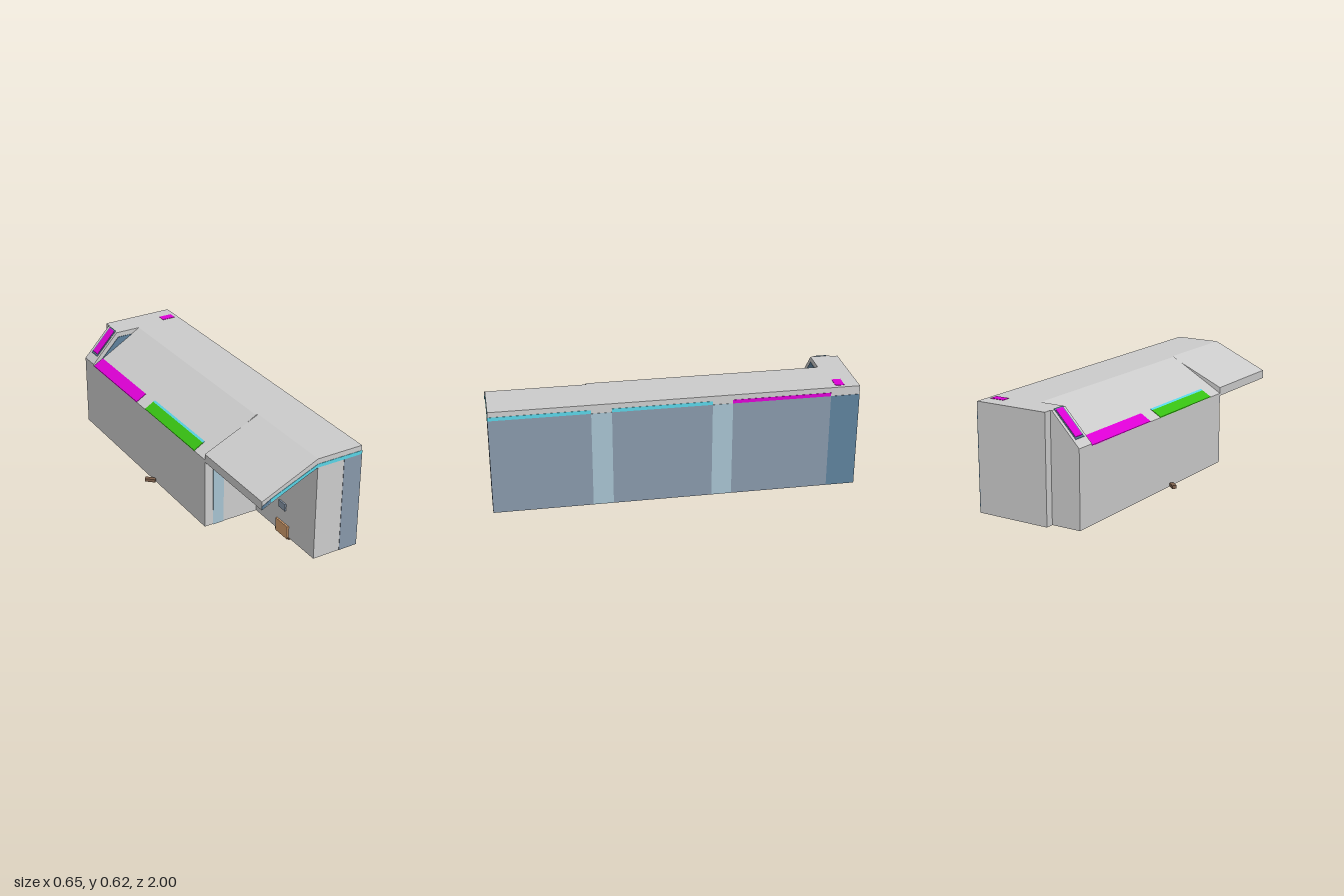
import * as THREE from 'three';

const mat = (name, color) => {
  const m = new THREE.MeshStandardMaterial({ color });
  m.name = name;
  return m;
};

export function createModel() {
  const group = new THREE.Group();
  const grey = mat('wall grey', 0xcccccc);
  const slate = mat('slate glass', 0x8898aa);
  const pale = mat('pale blue', 0xa6c2d0);
  const blue = mat('deep blue', 0x5e819c);
  const cyan = mat('cyan', 0x5ad4e6);
  const magenta = mat('magenta', 0xde00d6);
  const green = mat('green', 0x38c113);
  const tan = mat('tan wood', 0xd49e6e);
  const brown = mat('dark wood', 0x7e614d);

  const add = (name, geo, material) => {
    const m = new THREE.Mesh(geo, material);
    m.name = name;
    group.add(m);
    return m;
  };
  // Outline in x, y extruded between two z positions
  const prism = (name, pts, z0, z1, material) => {
    const shape = new THREE.Shape(pts.map(([x, y]) => new THREE.Vector2(x, y)));
    const geo = new THREE.ExtrudeGeometry(shape, { depth: z1 - z0, bevelEnabled: false });
    return add(name, geo.translate(0, 0, z0), material);
  };
  const box = (name, x0, x1, y0, y1, z0, z1, material) => {
    const m = add(name, new THREE.BoxGeometry(x1 - x0, y1 - y0, z1 - z0), material);
    m.position.set((x0 + x1) / 2, (y0 + y1) / 2, (z0 + z1) / 2);
    return m;
  };
  // Thin sheet lying on a sloping roof line
  const sheet = (name, roof, x0, x1, z0, z1, lift, material) => prism(name, [
    [x0, roof(x0) - 0.002], [x1, roof(x1) - 0.002],
    [x1, roof(x1) + lift], [x0, roof(x0) + lift]], z0, z1, material);

  const L = -0.27, R = 0.323, B = 0.02, T = 0.612, F = 0.998, P = 0.055, Z = 0.455, D = -0.845;
  const mainRoof = x => T - 0.58 * (0.04 - x);
  const dormerRoof = x => T - 1.06 * (-0.11 - x);

  // Body: front wing with canopy, main hall, rear dormer and end wall
  prism('frontWingAndCanopy', [[P, B], [R, B], [R, T], [P, T], [L, 0.466], [L, 0.418], [P, 0.563]], Z, F, grey);
  prism('mainHall', [[L, B], [R, B], [R, T], [0.04, T], [L, mainRoof(L)]], D, Z, grey);
  prism('rearDormer', [[L, B], [R, B], [R, T], [-0.11, T], [L, dormerRoof(L)]], -0.955, D, grey);
  box('rearEnd', -0.1, R, B, T, -1, -0.955, grey);

  // Long side: glazing panels and pale piers
  const side = (name, z0, z1, y0, y1, m) => box(name, R - 0.002, R + 0.002, y0, y1, z0, z1, m);
  [[1, 0.46, slate], [0.46, 0.35, pale], [0.35, -0.19, slate], [-0.19, -0.3, pale],
    [-0.3, -0.84, slate], [-0.84, -1, blue]].forEach(([a, b, m]) => {
    side('sidePanel', b, a, B, 0.563, m);
  });
  [[1, 0.46, cyan], [0.35, -0.19, cyan], [-0.3, -0.84, magenta]].forEach(([a, b, m]) => {
    side('sideLightStrip', b, a, 0.563, 0.583, m);
  });

  // Front: corner glazing, fascia strip and porch wall paint
  box('frontGlazing', 0.215, 0.325, B, 0.563, F - 0.002, 1, slate);
  prism('frontLightStrip', [[-0.22, 0.447], [P, 0.563], [0.325, 0.563], [0.325, 0.583], [P, 0.583], [-0.22, 0.467]],
    F - 0.002, 1, cyan);
  prism('canopyEndPanel', [[L, 0.421], [-0.22, 0.447], [-0.22, 0.467], [L, 0.439]], F - 0.002, 1, blue);
  prism('porchWallPanel', [[-0.22, B], [-0.155, B], [-0.155, 0.445], [P, 0.445], [P, 0.563], [-0.22, 0.44]],
    Z - 0.002, Z + 0.003, pale);
  box('porchWallBox', 0.046, 0.056, 0.17, 0.21, 0.68, 0.74, slate);

  // Roof details
  prism('dormerCheek', [[-0.214, 0.464], [-0.008, 0.583], [-0.1, 0.583]], D - 0.002, D + 0.003, blue);
  sheet('dormerWindowFrame', dormerRoof, -0.236, -0.108, -0.935, -0.862, 0.003, blue);
  sheet('dormerWindow', dormerRoof, -0.23, -0.114, -0.928, -0.87, 0.006, magenta);
  sheet('rearRoofPanel', mainRoof, L, -0.21, -0.84, -0.3, 0.003, magenta);
  sheet('middleRoofPanel', mainRoof, L, -0.217, -0.2, 0.345, 0.003, green);
  sheet('middleRoofStrip', mainRoof, -0.217, -0.206, -0.2, 0.345, 0.003, cyan);
  box('roofHatch', 0.22, 0.3, T - 0.002, T + 0.002, -0.92, -0.87, magenta);

  // Furniture feet below the floor and by the walls
  box('porchBench', 0.05, 0.15, 0.012, 0.022, 0.65, 0.78, brown);
  box('porchBenchBack', 0.045, 0.056, 0.012, 0.088, 0.66, 0.77, tan);
  box('floorMat', 0.08, 0.16, 0.016, 0.022, 0.55, 0.63, brown);
  const crossFoot = (x, z, y, turn) => [0, 1.2].forEach(a => {
    const m = box('crossFoot', x - 0.06, x + 0.06, y, y + 0.014, z - 0.01, z + 0.01, brown);
    m.rotation.y = turn + a;
  });
  crossFoot(0.115, 0.16, 0.013, 0.4);
  crossFoot(-0.22, -0.113, 0.013, 0.9);
  const seat = box('outsideSeat', -0.325, -0.265, 0.022, 0.04, -0.12, -0.095, brown);
  seat.rotation.y = -0.75;
  // Open rectangular sled feet
  [[0.17, -0.64, 0.05], [0.095, -0.81, 0.045]].forEach(([x, z, w]) => {
    [-1, 1].forEach(s => {
      box('sledFoot', x - w, x + w, 0.004, 0.022, z + s * 0.028 - 0.006, z + s * 0.028 + 0.006, tan);
      box('sledFoot', x + s * w - 0.006, x + s * w + 0.006, 0.004, 0.022, z - 0.03, z + 0.03, tan);
    });
  });
  const leg = box('stoolLeg', -0.07, -0.048, 0.001, 0.022, -0.785, -0.76, brown);
  leg.rotation.z = 0.2;

  // Flat marks on the underside
  const disc = add('floorDisc', new THREE.CylinderGeometry(0.042, 0.042, 0.004, 24), blue);
  disc.position.set(-0.015, 0.019, -0.06);
  const ring = add('floorRing', new THREE.TorusGeometry(0.038, 0.003, 4, 24), brown);
  ring.rotation.x = Math.PI / 2;
  ring.position.set(-0.18, 0.019, -0.35);
  [-1, 1].forEach(s => {
    box('floorOutline', -0.007 + s * 0.06 - 0.003, -0.007 + s * 0.06 + 0.003, 0.017, 0.021, -0.62, -0.32, brown);
    box('floorOutline', -0.067, 0.053, 0.017, 0.021, -0.47 + s * 0.15 - 0.003, -0.47 + s * 0.15 + 0.003, brown);
  });
  box('floorPlate', 0.2, 0.3, 0.017, 0.021, -0.99, -0.92, blue);

  return group;
}
